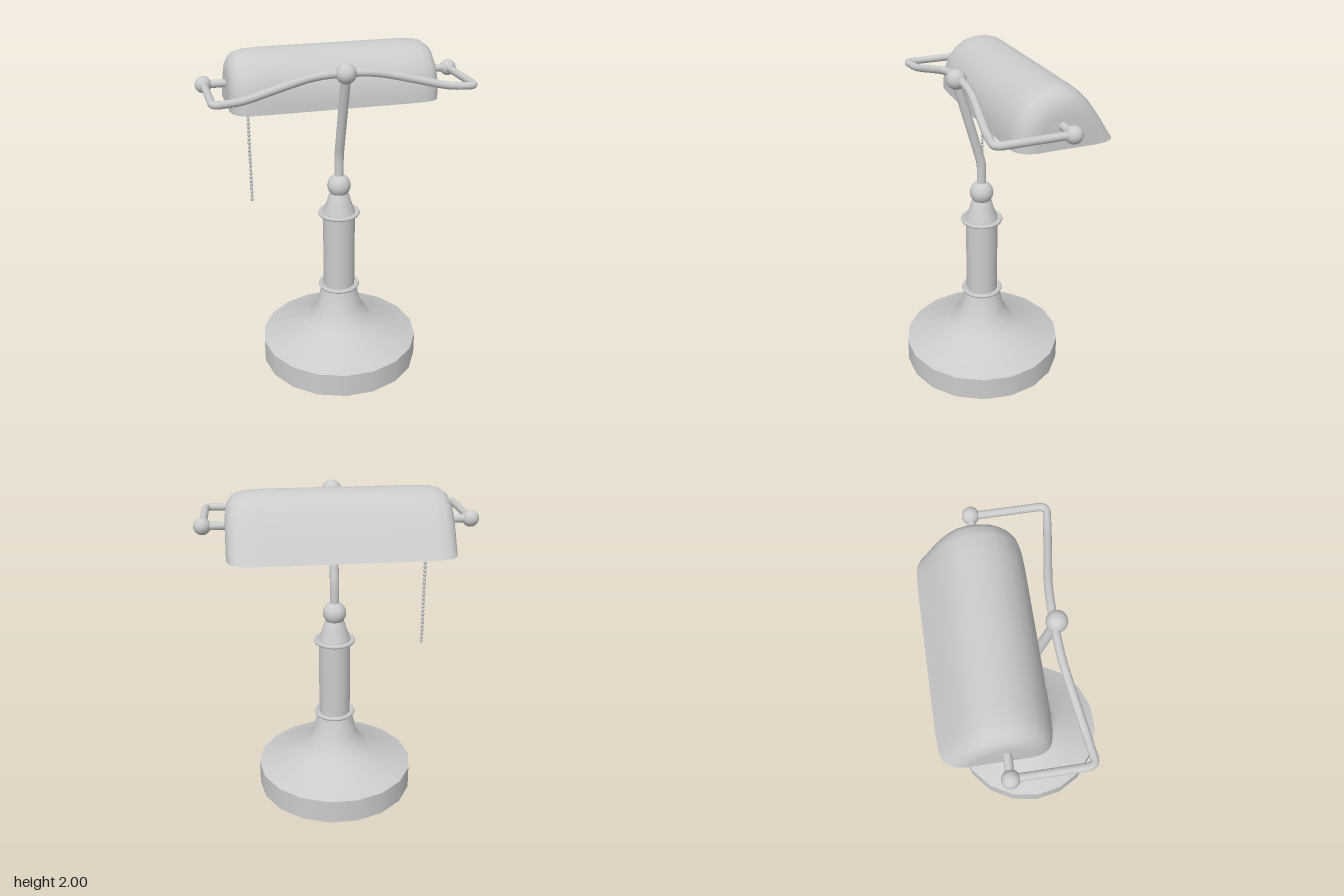
import * as THREE from 'three';

const V = (x, y, z) => new THREE.Vector3(x, y, z);
const AXIS_Z = 0.03;   // stem axis
const PIVOT_Z = -0.17; // shade pivot axis
const PIVOT_Y = 1.81;

export function createModel() {
  const model = new THREE.Group();
  const mat = new THREE.MeshStandardMaterial({ color: 0xcccccc });
  const thinMat = new THREE.MeshStandardMaterial({ color: 0xcccccc, side: THREE.DoubleSide });

  const add = (name, geo, x = 0, y = 0, z = 0, material = mat) => {
    const mesh = new THREE.Mesh(geo, material);
    mesh.name = name;
    mesh.position.set(x, y, z);
    model.add(mesh);
    return mesh;
  };
  const lathe = (pts, seg, phi = 0) =>
    new THREE.LatheGeometry(pts.map(p => new THREE.Vector2(...p)), seg, phi);
  const ball = (name, r, x, y, z) => add(name, new THREE.SphereGeometry(r, 24, 16), x, y, z);

  // Eighteen-sided base: underside, wall and flared foot
  const turn = Math.PI / 18;
  add('baseUnderside', lathe([[0, 0], [0.495, 0]], 18, turn), 0, 0, AXIS_Z);
  add('baseWall', lathe([[0.495, 0], [0.495, 0.15]], 18, turn), 0, 0, AXIS_Z);
  add('baseFoot', lathe([[0.495, 0.15], [0.22, 0.25], [0.14, 0.37], [0.105, 0.51]], 18, turn), 0, 0, AXIS_Z);

  // Column with a ring at each end
  add('column', new THREE.CylinderGeometry(0.098, 0.098, 0.5, 24), 0, 0.76, AXIS_Z);
  for (const y of [0.51, 1.01]) {
    const ring = add('columnRing', new THREE.TorusGeometry(0.116, 0.012, 8, 32), 0, y, AXIS_Z);
    ring.rotation.x = Math.PI / 2;
    add('columnRingPlate', new THREE.CylinderGeometry(0.116, 0.116, 0.012, 32), 0, y, AXIS_Z);
  }
  add('columnNeck', lathe([[0.1, 1.01], [0.094, 1.035], [0.075, 1.08], [0.062, 1.13], [0.045, 1.15], [0.045, 1.19]], 24),
    0, 0, AXIS_Z);
  ball('neckBall', 0.071, 0, 1.19, AXIS_Z);

  // Bent post
  const post = new THREE.CurvePath();
  post.add(new THREE.LineCurve3(V(0, 1.19, AXIS_Z), V(0, 1.34, AXIS_Z)));
  post.add(new THREE.QuadraticBezierCurve3(V(0, 1.34, AXIS_Z), V(0, 1.38, AXIS_Z), V(0, 1.42, 0.042)));
  post.add(new THREE.LineCurve3(V(0, 1.42, 0.042), V(0, 1.9, 0.178)));
  add('post', new THREE.TubeGeometry(post, 40, 0.028, 14));
  ball('postBall', 0.058, 0, 1.91, 0.178);

  // Yoke: bowed front bar turning back to the pivots
  const half = s => [[0.12, 1.905, 0.165], [0.22, 1.893, 0.172], [0.4, 1.855, 0.2], [0.57, 1.818, 0.228], [0.64, 1.811, 0.238]]
    .map(([x, y, z]) => V(s * x, y, z));
  const bow = new THREE.CatmullRomCurve3([...half(-1).reverse(), V(0, 1.908, 0.163), ...half(1)]);
  add('yokeBar', new THREE.TubeGeometry(bow, 64, 0.023, 12));
  for (const s of [-1, 1]) {
    const side = new THREE.CurvePath();
    const a = V(s * 0.64, 1.811, 0.238), b = V(s * 0.7, PIVOT_Y, 0.247), c = V(s * 0.742, PIVOT_Y, 0.2);
    side.add(new THREE.LineCurve3(a, b));
    side.add(new THREE.QuadraticBezierCurve3(b, V(s * 0.742, PIVOT_Y, 0.252), c));
    side.add(new THREE.LineCurve3(c, V(s * 0.742, PIVOT_Y, PIVOT_Z)));
    add('yokeSide', new THREE.TubeGeometry(side, 48, 0.022, 12));
    ball('pivotBall', 0.048, s * 0.745, PIVOT_Y, PIVOT_Z);
    const pin = add('pivotPin', new THREE.CylinderGeometry(0.023, 0.023, 0.15, 14), s * 0.67, PIVOT_Y, PIVOT_Z);
    pin.rotation.z = Math.PI / 2;
  }

  add('shade', shadeGeometry(), 0, 1.68, 0, thinMat);

  // Socket and bulb lie along the pivot axis, inside the shade
  const bulb = [[0.036, 0.22], [0.04, 0.25], [0.058, 0.29]];
  for (let i = 0; i <= 12; i++) {
    const t = Math.PI * (0.25 - 0.75 * i / 12) * -1 + Math.PI * 0.0;
    bulb.push([Math.max(0, 0.112 * Math.cos(t)), 0.395 + 0.112 * Math.sin(t)]);
  }
  const socket = [[0, 0], [0.052, 0], [0.052, 0.13], [0.04, 0.14], [0.04, 0.18], [0.05, 0.185], [0.05, 0.22], [0, 0.22]];
  for (const [name, pts] of [['bulb', bulb], ['socket', socket]]) {
    add(name, lathe(pts, 24), -0.61, PIVOT_Y, PIVOT_Z).rotation.z = -Math.PI / 2;
  }

  // Beaded pull chain
  const chain = new THREE.Group();
  chain.name = 'pullChain';
  const bead = new THREE.SphereGeometry(0.01, 8, 6);
  for (let i = 0; i < 30; i++) {
    const m = new THREE.Mesh(bead, mat);
    m.name = 'chainBead';
    m.scale.y = 1.25;
    m.position.set(-0.5, 1.068 + i * 0.0245, PIVOT_Z);
    chain.add(m);
  }
  const cord = new THREE.Mesh(new THREE.CylinderGeometry(0.004, 0.004, 0.71, 6), mat);
  cord.name = 'chainCord';
  cord.position.set(-0.5, 1.423, PIVOT_Z);
  chain.add(cord);
  model.add(chain);
  return model;
}

// Hooded shade: one arched section, shrunk towards both ends
function shadeGeometry() {
  const arch = [[0.083, 0], [0.08, 0.07], [0.066, 0.145], [0.035, 0.21], [-0.01, 0.26], [-0.065, 0.298], [-0.13, 0.317],
    [-0.2, 0.32], [-0.26, 0.303], [-0.315, 0.265], [-0.37, 0.208], [-0.43, 0.125], [-0.475, 0.055], [-0.513, 0]];
  const end = [[0.62, 0], [0.62, 0.58], [0.612, 0.74], [0.592, 0.87], [0.56, 0.945], [0.51, 0.985], [0.4, 1]];
  const sections = [...end.map(([x, s]) => [-x, s]), ...end.slice().reverse()];
  const cz = -0.2, n = arch.length, pos = [], idx = [];
  for (const [x, s] of sections) for (const [z, y] of arch) pos.push(x, y * s, cz + (z - cz) * s);
  for (let i = 0; i < sections.length - 1; i++) {
    for (let j = 0; j < n - 1; j++) {
      const a = i * n + j, b = a + n;
      idx.push(a, b, a + 1, b, b + 1, a + 1);
    }
  }
  const geo = new THREE.BufferGeometry();
  geo.setAttribute('position', new THREE.Float32BufferAttribute(pos, 3));
  geo.setIndex(idx);
  geo.computeVertexNormals();
  return geo;
}
